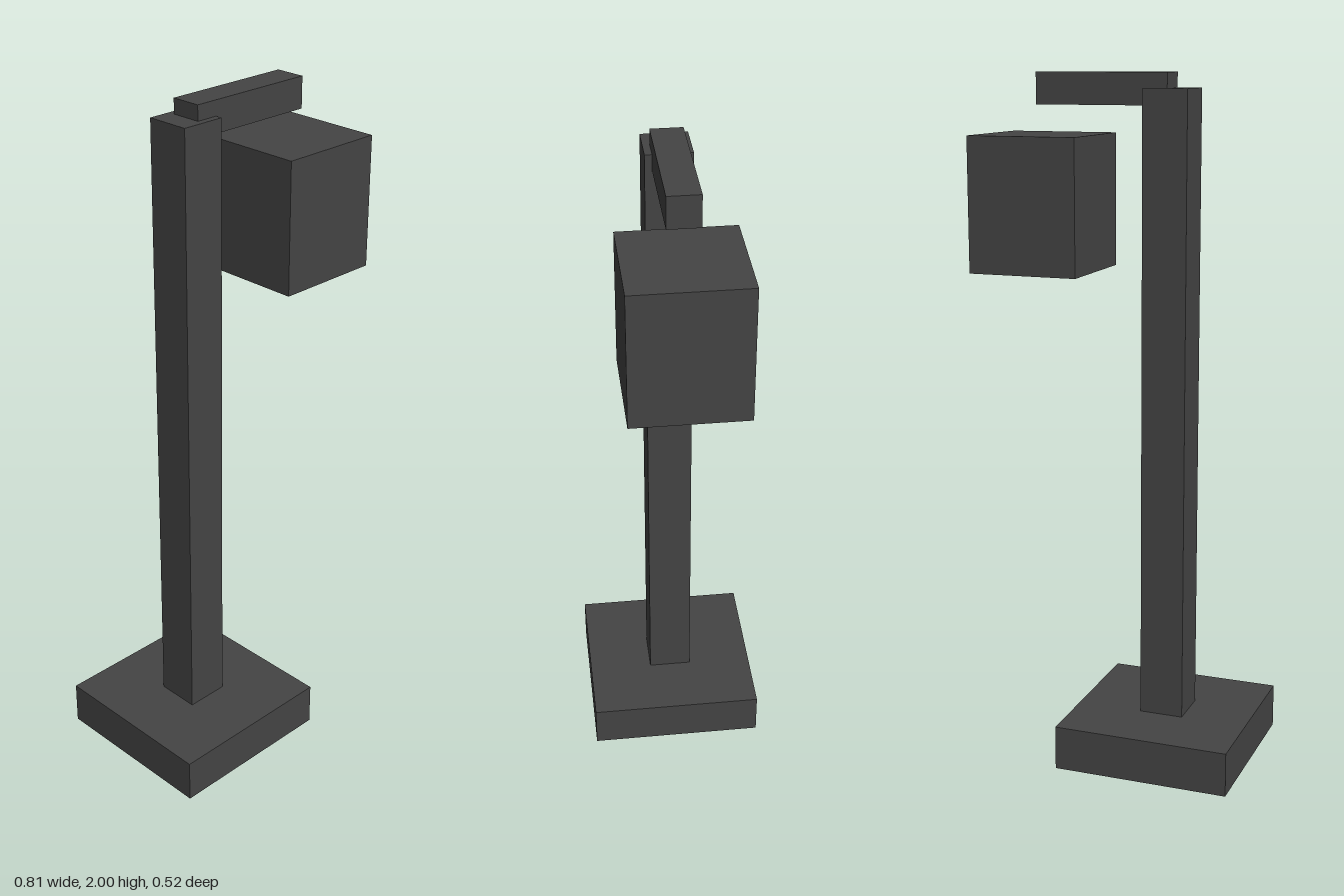
import * as THREE from 'three';

export function createModel() {
  const group = new THREE.Group();
  const darkMetal = new THREE.MeshStandardMaterial({ color: 0x444444 });
  darkMetal.name = 'dark grey metal';

  // Adds a box given its size, centre x and bottom height
  const addBox = (name, w, h, d, x, bottom) => {
    const mesh = new THREE.Mesh(new THREE.BoxGeometry(w, h, d), darkMetal);
    mesh.name = name;
    mesh.position.set(x, bottom + h / 2, 0);
    group.add(mesh);
  };

  addBox('base', 0.52, 0.13, 0.52, -0.147, 0);
  addBox('post', 0.13, 1.827, 0.13, -0.147, 0.13);
  addBox('arm', 0.39, 0.09, 0.09, 0.048, 1.91);
  // Lamp box floats below the arm
  addBox('lantern', 0.325, 0.388, 0.325, 0.243, 1.438);

  return group;
}
